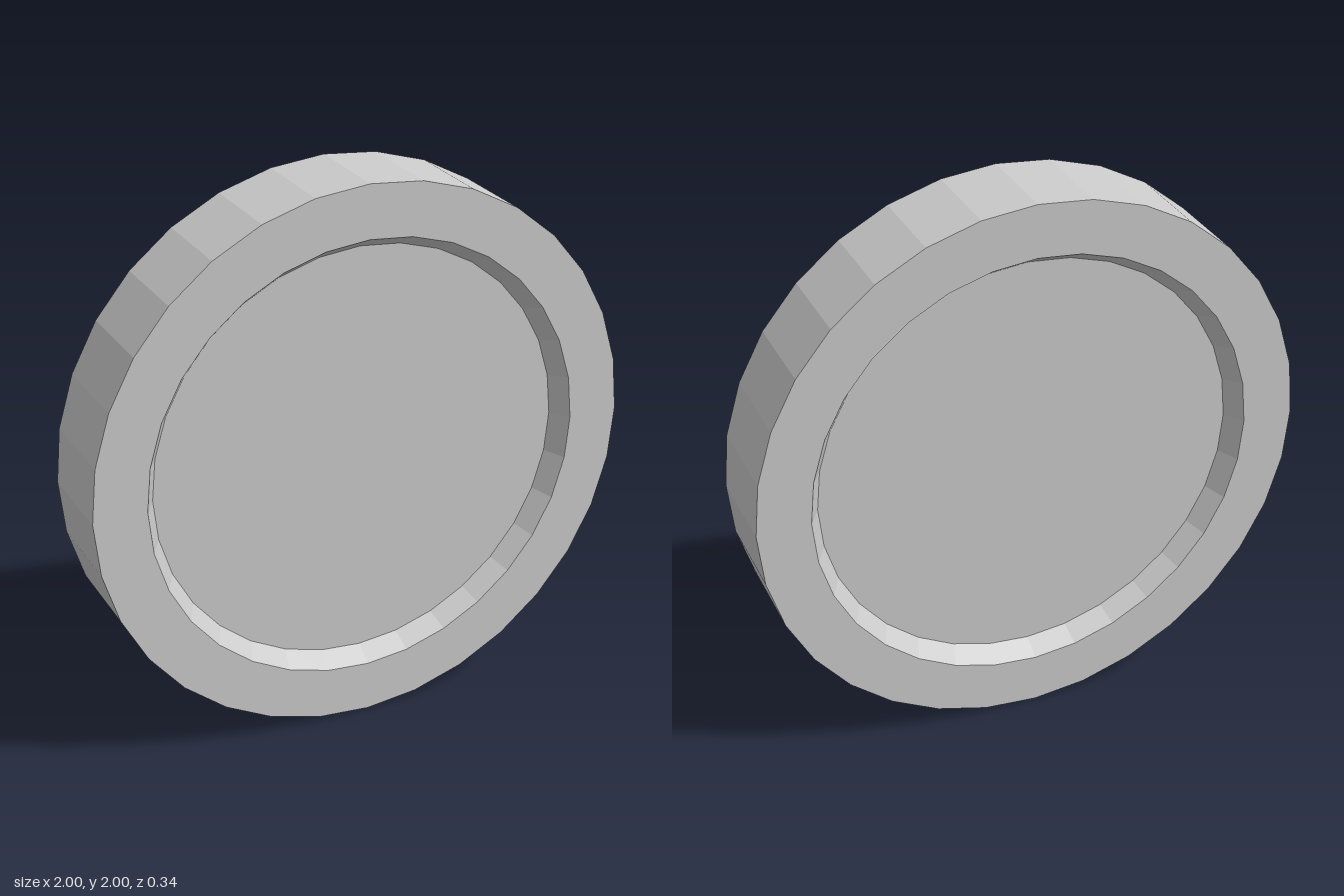
import * as THREE from 'three';

const SIDES = 32;
const HALF = 0.171;        // half thickness of the rim
const FLOOR = 0.1;         // distance of each recessed face from the mid plane
const OUTER = 1, LIP = 0.81, INNER = 0.765;

const material = new THREE.MeshStandardMaterial({ color: 0xcccccc, flatShading: true });

export function createModel() {
  const model = new THREE.Group();
  model.name = 'disc';

  // Rim: flat outer band, flat faces and bevelled walls down to each recess
  const profile = [
    [INNER, -FLOOR], [LIP, -HALF], [OUTER, -HALF],
    [OUTER, HALF], [LIP, HALF], [INNER, FLOOR],
  ].map(([r, y]) => new THREE.Vector2(r, y));
  const rim = new THREE.Mesh(new THREE.LatheGeometry(profile, SIDES), material);
  rim.name = 'rim';
  rim.rotation.x = Math.PI / 2;
  rim.position.y = OUTER;
  model.add(rim);

  // Recessed faces, front and back
  for (const side of [1, -1]) {
    const face = new THREE.Mesh(new THREE.CircleGeometry(INNER, SIDES), material);
    face.name = side > 0 ? 'frontFace' : 'backFace';
    face.position.set(0, OUTER, side * FLOOR);
    if (side < 0) face.rotation.y = Math.PI;
    model.add(face);
  }
  return model;
}
